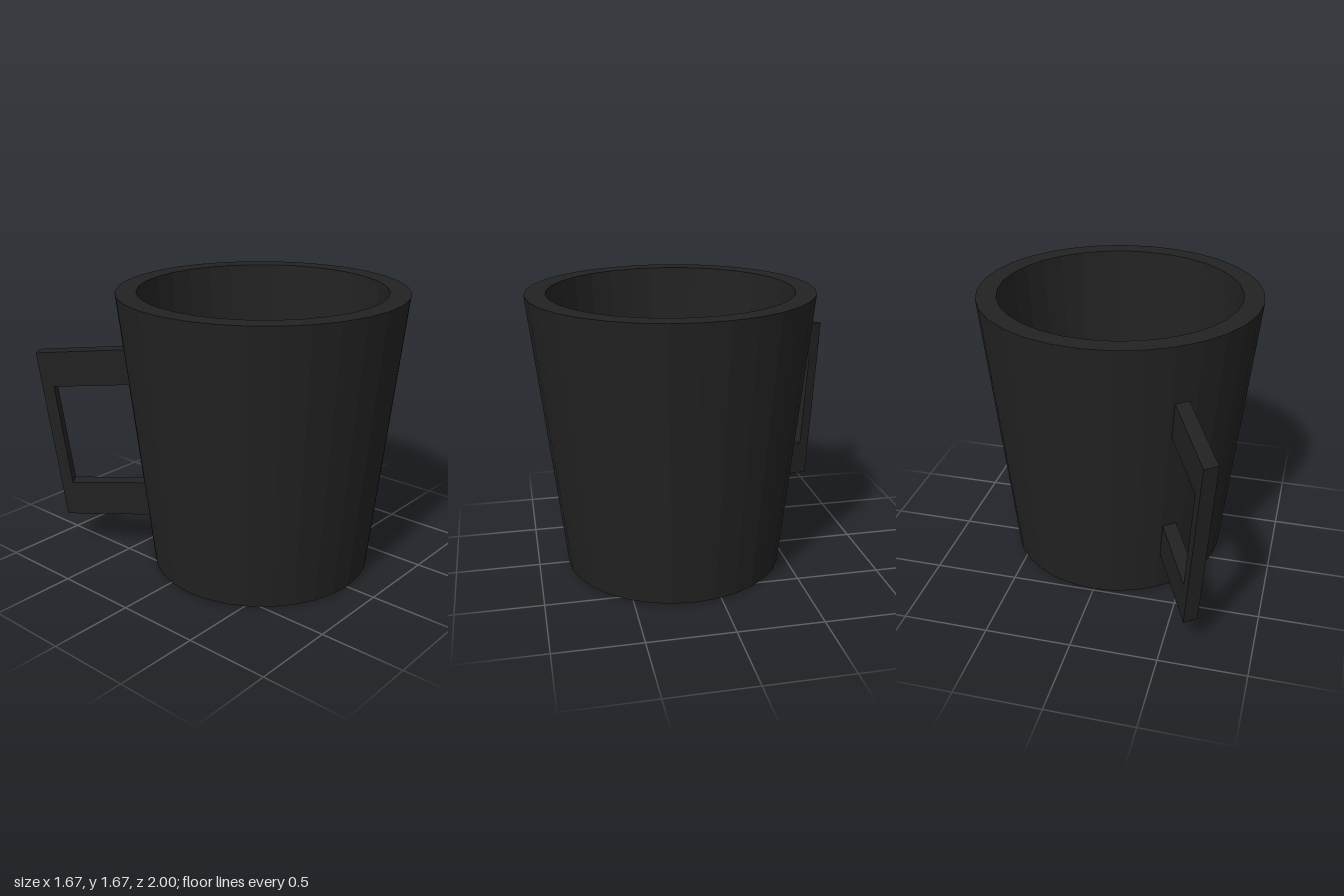
import * as THREE from 'three';

const material = new THREE.MeshStandardMaterial({ color: 0x222222, flatShading: true });

export function createModel() {
  const mug = new THREE.Group();
  mug.name = 'mug';

  // Tapered cup: underside, outer wall, rim, inner wall and thin floor
  const profile = [
    [0, 0], [0.56, 0], [0.56, 0.005], [0.655, 0.005],
    [0.835, 1.675], [0.715, 1.675], [0.56, 0.01], [0, 0.01],
  ].map(([r, y]) => new THREE.Vector2(r, y));
  const cup = new THREE.Mesh(new THREE.LatheGeometry(profile, 32), material);
  cup.name = 'cup';
  cup.position.z = 0.163;
  mug.add(cup);

  // Square C-shaped handle, drawn outward along x and up along y
  const reach = 0.6, height = 1.06, arm = 0.215, bar = 0.075;
  const outline = new THREE.Shape([
    [-reach, 0], [-reach, -arm], [-bar, -arm], [-bar, arm - height],
    [-reach, arm - height], [-reach, -height], [0, -height], [0, 0],
  ].map(([x, y]) => new THREE.Vector2(x, y)));
  const handleGeometry = new THREE.ExtrudeGeometry(outline, { depth: 1, bevelEnabled: false });

  // Lean it with the wall and slant its end across the thickness
  const outward = new THREE.Vector3(-0.42, -0.11, -0.9).normalize();
  const up = new THREE.Vector3(-0.08, 1.055, -0.1).normalize();
  const thickness = new THREE.Vector3(0.069, 0, -0.053);
  const placement = new THREE.Matrix4()
    .makeBasis(outward, up, thickness)
    .setPosition(-0.769, 1.26, -0.947);
  handleGeometry.applyMatrix4(placement);
  const handle = new THREE.Mesh(handleGeometry, material);
  handle.name = 'handle';
  mug.add(handle);

  return mug;
}
